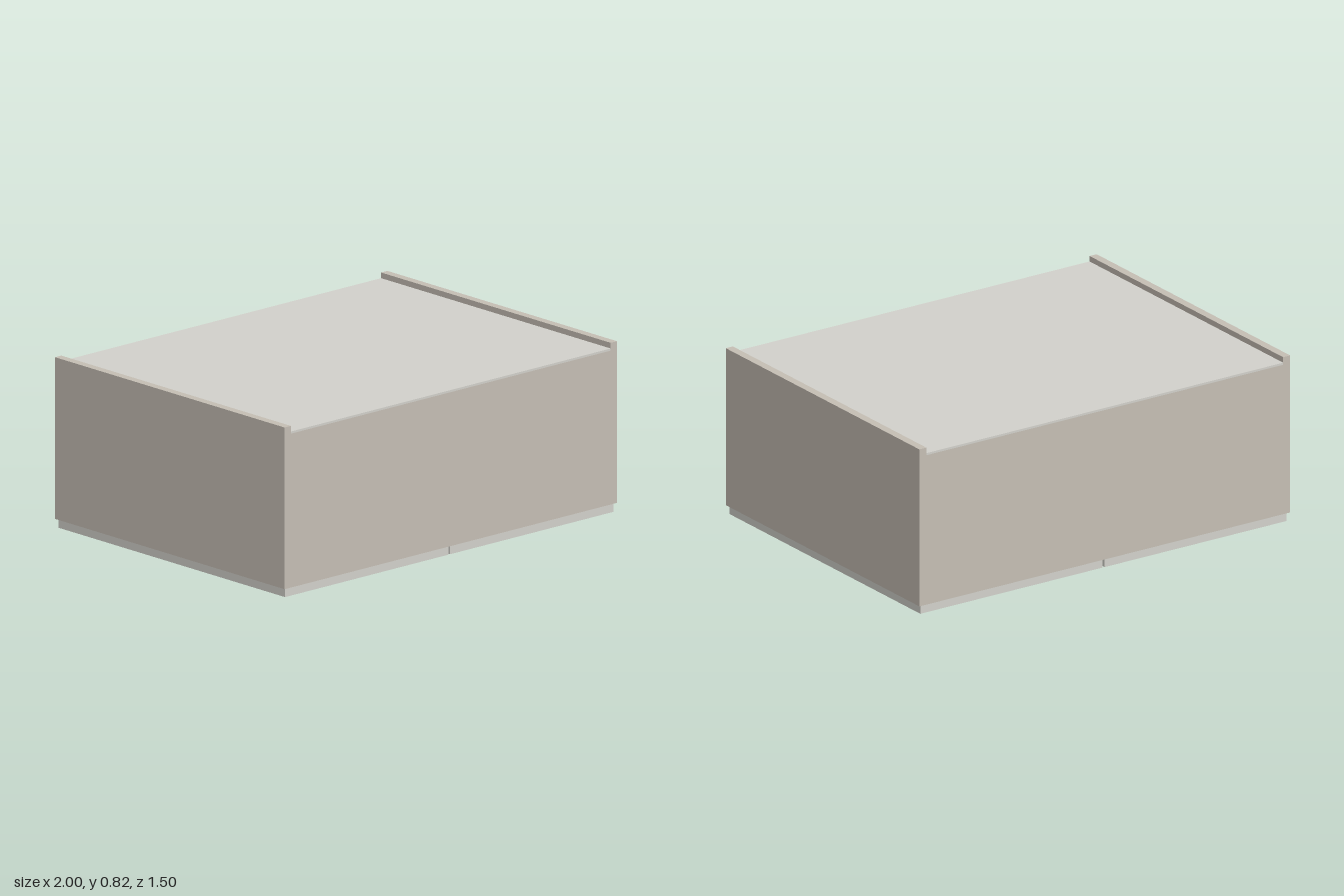
import * as THREE from 'three';

// Two-door cabinet lying on its front, doors facing down.
export function createModel() {
  const model = new THREE.Group();
  const carcassMat = new THREE.MeshStandardMaterial({ color: 0xc5beb4 });
  const panelMat = new THREE.MeshStandardMaterial({ color: 0xd2d1cb });
  const handleMat = new THREE.MeshStandardMaterial({ color: 0x85878a });

  // Box given by its [min, max] range on each axis
  const addBox = (name, x, y, z, material) => {
    const mesh = new THREE.Mesh(
      new THREE.BoxGeometry(x[1] - x[0], y[1] - y[0], z[1] - z[0]), material);
    mesh.name = name;
    mesh.position.set((x[0] + x[1]) / 2, (y[0] + y[1]) / 2, (z[0] + z[1]) / 2);
    model.add(mesh);
  };
  // Range mirrored to the chosen side
  const span = (side, a, b) => (side > 0 ? [a, b] : [-b, -a]);

  const bottom = 0.074, panelBottom = 0.784, panelTop = 0.794;

  // Back panel, recessed between the tall sides
  addBox('backPanel', [-0.962, 0.962], [panelBottom, panelTop], [-0.75, 0.75], panelMat);

  for (const side of [1, -1]) {
    const label = side > 0 ? 'left' : 'right';
    // Carcass
    addBox(label + 'SidePanel', span(side, 0.962, 1), [bottom, 0.82], [-0.75, 0.75], carcassMat);
    addBox(side > 0 ? 'frontEndPanel' : 'rearEndPanel',
      [-0.962, 0.962], [bottom, panelBottom], span(side, 0.712, 0.75), carcassMat);
    // Door and its bar handle
    addBox(label + 'Door', span(side, 0.006, 0.988), [0.033, 0.071], [-0.74, 0.74], panelMat);
    addBox(label + 'Handle', span(side, 0.38, 0.62), [0, 0.033], [0.542, 0.57], handleMat);
  }
  return model;
}
